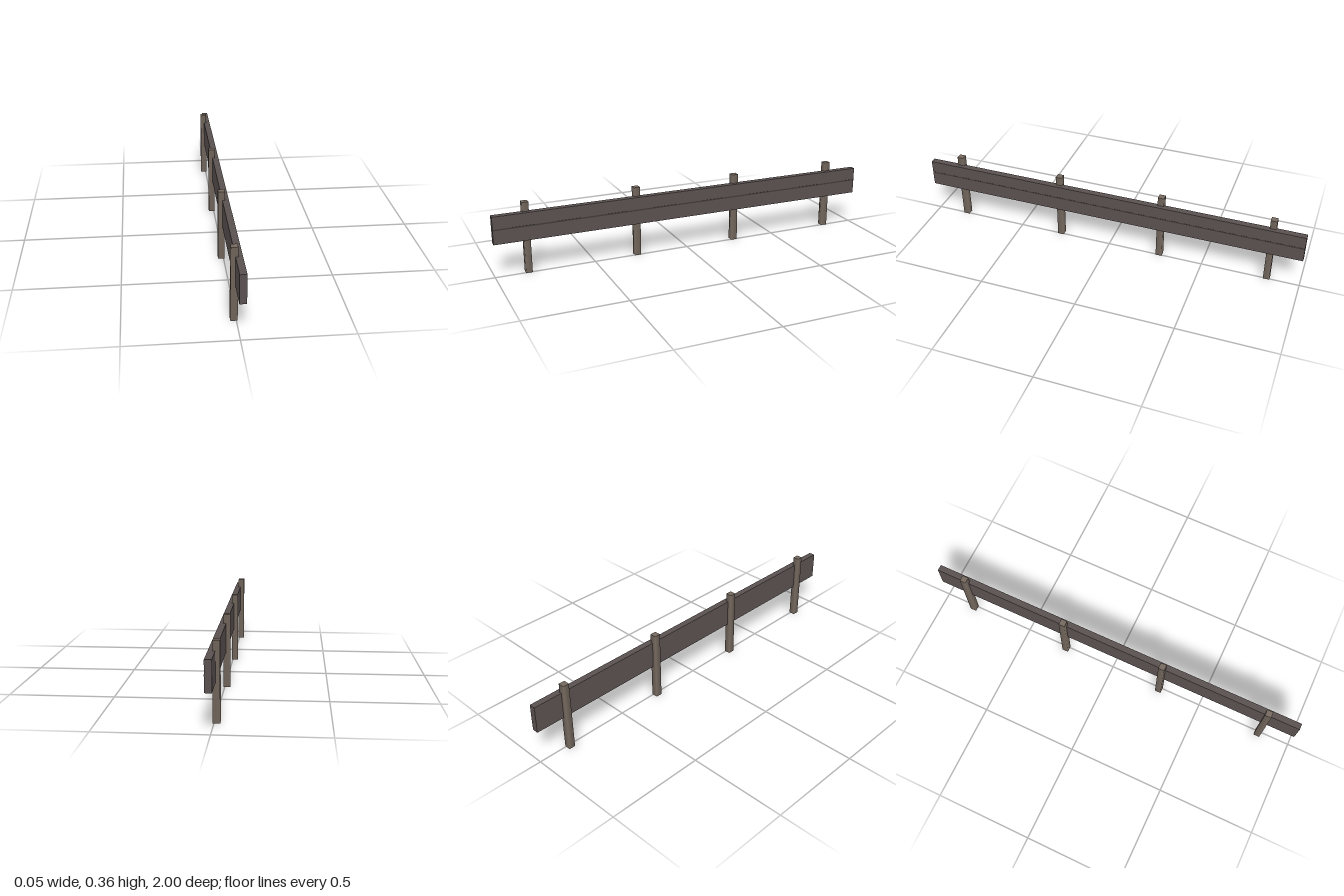
import * as THREE from 'three';

export function createModel() {
  const model = new THREE.Group();
  model.name = 'guardFence';

  const postMaterial = new THREE.MeshStandardMaterial({ color: 0x75695f });
  const railMaterial = new THREE.MeshStandardMaterial({ color: 0x5a5150 });
  const seamMaterial = new THREE.MeshStandardMaterial({ color: 0x403939 });

  function addPart(name, geometry, material, x, y, z) {
    const mesh = new THREE.Mesh(geometry, material);
    mesh.name = name;
    mesh.position.set(x, y, z);
    model.add(mesh);
  }

  // Long rail with a dark seam along its outer face
  addPart('rail', new THREE.BoxGeometry(0.032, 0.139, 2), railMaterial, 0.0095, 0.2445, 0);
  addPart('railSeam', new THREE.BoxGeometry(0.001, 0.007, 2), seamMaterial, 0.0255, 0.248, 0);

  // Square posts with softly shaded sides, set into the back of the rail
  const side = 0.032, height = 0.36;
  const radius = side / Math.SQRT2;
  const postGeometry = new THREE.CylinderGeometry(radius, radius, height, 4);
  postGeometry.rotateY(Math.PI / 4);
  [0.835, 0.273, -0.273, -0.835].forEach((z, i) => {
    addPart(`post${i + 1}`, postGeometry, postMaterial, -0.0105, height / 2, z);
  });

  return model;
}
